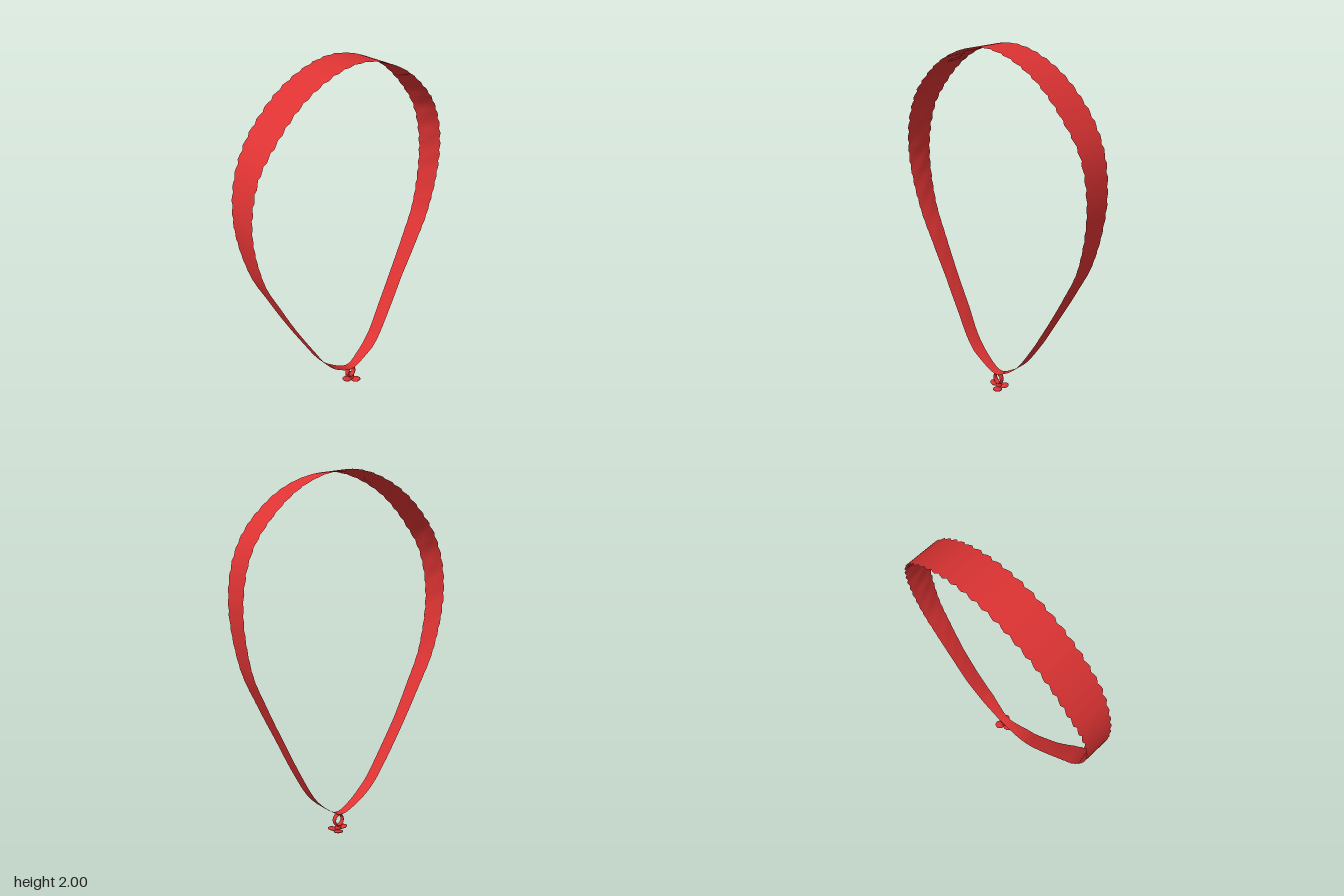
import * as THREE from 'three';

const red = new THREE.MeshStandardMaterial({ color: 0xdd3333, side: THREE.DoubleSide });

// Outline of the strap seen from the front, clockwise from the top
const outline = [
  [0, 2], [0.2, 1.96], [0.4, 1.845], [0.6, 1.605], [0.66, 1.33], [0.61, 0.99], [0.52, 0.79],
  [0.41, 0.58], [0.3, 0.38], [0.2, 0.23], [0.11, 0.152], [0.02, 0.106], [-0.1, 0.165], [-0.19, 0.25],
  [-0.29, 0.41], [-0.4, 0.6], [-0.5, 0.79], [-0.6, 1.0], [-0.66, 1.33], [-0.6, 1.605], [-0.4, 1.845], [-0.2, 1.96],
];

// Edges of the strap by height: [y, back z, front z]
const edges = [
  [0.1, 0, 0.05], [0.2, -0.014, 0.066], [0.4, -0.035, 0.056], [0.6, -0.044, 0.05],
  [1.0, -0.063, 0.062], [1.3, -0.078, 0.076], [1.6, -0.092, 0.088], [1.72, -0.102, 0.102], [2.01, -0.103, 0.103],
];

function edgeAt(y, k) {
  let i = 0;
  while (i < edges.length - 2 && y > edges[i + 1][0]) i++;
  const t = THREE.MathUtils.clamp((y - edges[i][0]) / (edges[i + 1][0] - edges[i][0]), 0, 1);
  return THREE.MathUtils.lerp(edges[i][k], edges[i + 1][k], t);
}

// One face of the strap: smooth outside, creased inside
function strapSheet(inner) {
  const N = 216, M = 6;
  const curve = new THREE.CatmullRomCurve3(outline.map(([x, y]) => new THREE.Vector3(x, y, 0)), true);
  const pos = [], index = [];
  const teeth = [-1, 0.9, 0.2];
  for (let i = 0; i < N; i++) {
    const p = curve.getPointAt(i / N), t = curve.getTangentAt(i / N);
    const wide = THREE.MathUtils.smoothstep(p.y, 0.5, 1.7);
    const back = edgeAt(p.y, 1) - teeth[i % 3] * 0.006 * wide;
    const front = edgeAt(p.y, 2) + teeth[(i + 1) % 3] * 0.006 * wide;
    for (let j = 0; j <= M; j++) {
      const v = j / M;
      const crease = 0.75 + 0.25 * Math.sin(i * 1.05 + j * 0.9);
      const depth = inner ? Math.sin(Math.PI * v) * crease * (0.002 + 0.007 * wide) : 0;
      pos.push(p.x + t.y * depth, p.y - t.x * depth, THREE.MathUtils.lerp(back, front, v));
    }
  }
  for (let i = 0; i < N; i++) {
    for (let j = 0; j < M; j++) {
      const a = i * (M + 1) + j, b = ((i + 1) % N) * (M + 1) + j;
      if (inner) index.push(a, b, a + 1, b, b + 1, a + 1);
      else index.push(a, a + 1, b, b, a + 1, b + 1);
    }
  }
  const g = new THREE.BufferGeometry();
  g.setAttribute('position', new THREE.Float32BufferAttribute(pos, 3));
  g.setIndex(index);
  g.computeVertexNormals();
  return g;
}

export function createModel() {
  const model = new THREE.Group();
  const add = (parent, name, geometry, x = 0, y = 0, z = 0) => {
    const mesh = new THREE.Mesh(geometry, red);
    mesh.name = name;
    mesh.position.set(x, y, z);
    parent.add(mesh);
    return mesh;
  };

  // Strap
  const strap = new THREE.Group();
  strap.name = 'strap';
  model.add(strap);
  add(strap, 'strapOutside', strapSheet(false));
  add(strap, 'strapInside', strapSheet(true));

  // Ring at the bottom of the strap
  const ring = add(model, 'ring', new THREE.TorusGeometry(0.027, 0.006, 8, 20), 0.023, 0.068, 0.025);
  ring.scale.set(1, 1.18, 2.6);

  // Knotted end with three flat lobes
  const knot = new THREE.Group();
  knot.name = 'knot';
  knot.position.set(0.026, 0, 0.025);
  model.add(knot);
  add(knot, 'knotCentre', new THREE.SphereGeometry(0.018, 14, 8), 0, 0.022, 0).scale.y = 0.8;
  for (let i = 0; i < 3; i++) {
    const a = Math.PI + (i * Math.PI * 2) / 3;
    const lobe = add(knot, 'lobe', new THREE.SphereGeometry(1, 16, 8),
      Math.cos(a) * 0.031, i === 0 ? 0.022 : 0.011, Math.sin(a) * 0.031);
    lobe.scale.set(0.03, 0.007, 0.027);
    lobe.rotation.set(0, -a, i === 0 ? 0.15 : 0.1);
  }
  return model;
}
